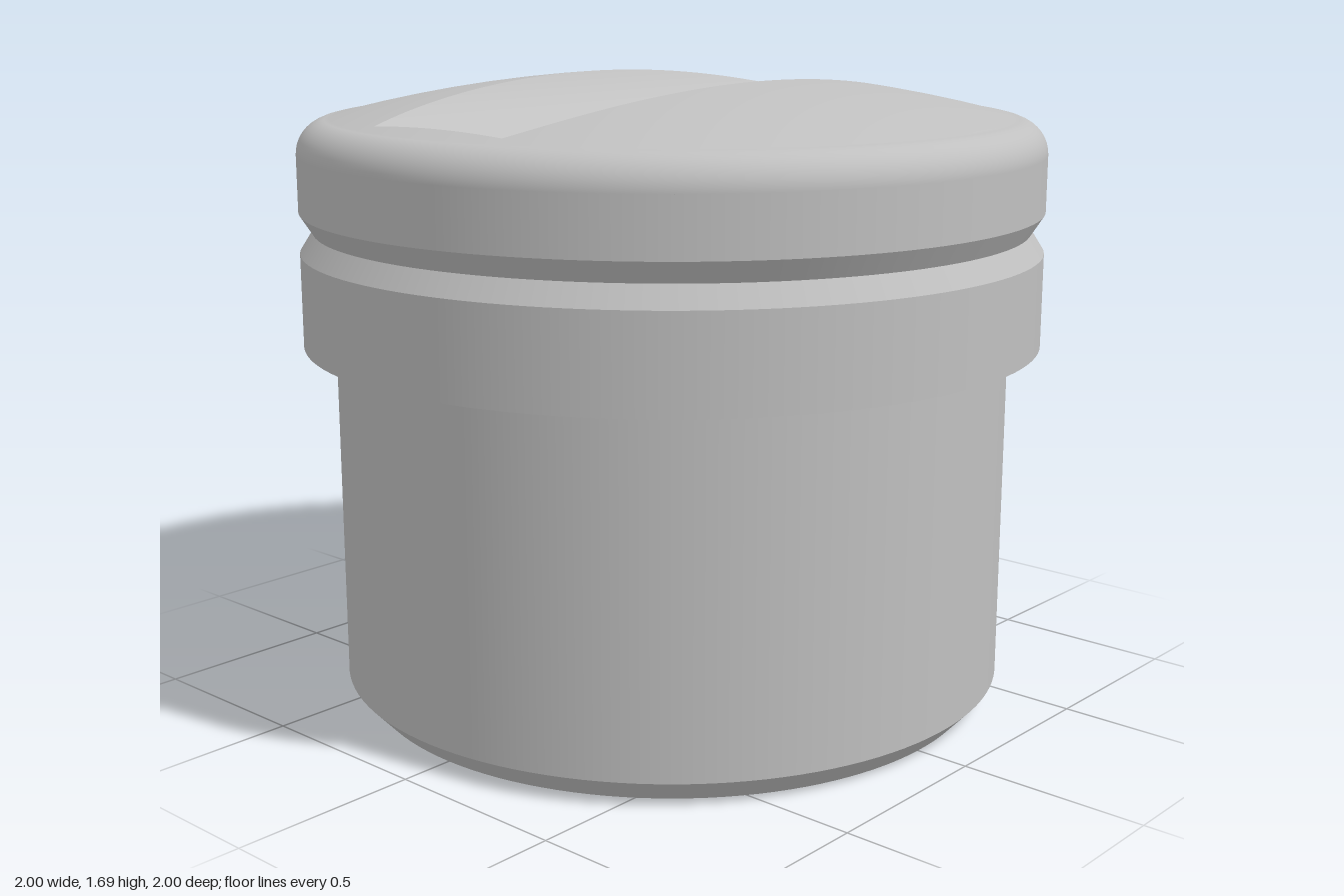
import * as THREE from 'three';
import { mergeGeometries } from 'three/addons/utils/BufferGeometryUtils.js';

const DOME_R = 3.66, DOME_TOP = 1.705;       // shallow spherical top
const RIM = 0.91, FILLET = 0.09, RIM_Y = 1.5; // rounded rim
const SLOT_R = 0.364, SLOT_Y = 1.884, SLOT_END = -0.84; // scooped finger slot
const CEILING = 1.4;

// Height of the top at radius r
const capY = (r) => r <= RIM
  ? DOME_TOP - DOME_R + Math.sqrt(DOME_R ** 2 - r * r)
  : RIM_Y + Math.sqrt(Math.max(0, FILLET ** 2 - (r - RIM) ** 2));

// Height of the slot floor at z
const slotY = (z) => SLOT_Y - Math.sqrt(Math.max(0, SLOT_R ** 2 - z * z));

function capNormal(r, t) {
  const [h, v] = r > RIM + 1e-6
    ? [(r - RIM) / FILLET, (capY(r) - RIM_Y) / FILLET]
    : [r / DOME_R, Math.sqrt(1 - (r / DOME_R) ** 2)];
  return [h * Math.cos(t), v, h * Math.sin(t)];
}

function slotNormal(z) {
  return [0, (SLOT_Y - slotY(z)) / SLOT_R, -z / SLOT_R];
}

// Largest value in [0, hi] for which test holds
function bisect(hi, test) {
  let lo = 0;
  for (let i = 0; i < 50; i++) {
    const m = (lo + hi) / 2;
    if (test(m)) lo = m; else hi = m;
  }
  return lo;
}

// Grid surface from fn(i, j) -> { p, n }
function grid(rows, cols, fn) {
  const pos = [], nor = [], idx = [];
  for (let i = 0; i <= rows; i++) {
    for (let j = 0; j <= cols; j++) {
      const { p, n } = fn(i, j);
      pos.push(...p);
      nor.push(...n);
      if (i < rows && j < cols) {
        const a = i * (cols + 1) + j, c = a + cols + 1;
        idx.push(a, c, a + 1, a + 1, c, c + 1);
      }
    }
  }
  const g = new THREE.BufferGeometry();
  g.setAttribute('position', new THREE.Float32BufferAttribute(pos, 3));
  g.setAttribute('normal', new THREE.Float32BufferAttribute(nor, 3));
  g.setIndex(idx);
  return g;
}

export function createModel() {
  const group = new THREE.Group();
  const grey = new THREE.MeshStandardMaterial({ color: 0xc0c0c0 });
  grey.name = 'light grey';
  const add = (name, geometry) => {
    const mesh = new THREE.Mesh(geometry, grey);
    mesh.name = name;
    group.add(mesh);
    return mesh;
  };

  // Hollow body: ceiling, bore, chamfered foot, collar and V groove
  const profile = [
    [0, CEILING], [0.8, CEILING], [0.8, 0], [0.855, 0], [0.915, 0.065], [0.915, 0.99],
    [1, 0.99], [1, 1.24], [0.965, 1.295], [1, 1.35], [1, RIM_Y],
  ].map(([x, y]) => new THREE.Vector2(x, y));
  const bands = profile.slice(1).map((p, i) => new THREE.LatheGeometry([profile[i], p], 128));
  add('body', mergeGeometries(bands));

  // Directions around the top, including the two corners of the slot's end
  const endHalf = bisect(SLOT_R, (z) => capY(Math.hypot(SLOT_END, z)) > slotY(z));
  const corner = Math.atan2(endHalf, SLOT_END);
  const angles = [corner, 2 * Math.PI - corner];
  for (let i = 0; i <= 288; i++) angles.push((i / 288) * Math.PI * 2);
  angles.sort((a, b) => a - b);

  // Slot outline as a radius for each direction
  const outline = angles.map((t) => bisect(1, (r) => {
    const z = Math.abs(r * Math.sin(t));
    return z < SLOT_R && r * Math.cos(t) > SLOT_END && capY(r) > slotY(z);
  }));
  const at = (r, t, y) => [r * Math.cos(t), y, r * Math.sin(t)];
  const last = angles.length - 1;

  // Domed top with rounded rim, outside the slot
  const radii = [];
  for (let i = 0; i < 10; i++) radii.push((RIM * i) / 10);
  for (let i = 0; i <= 10; i++) radii.push(RIM + FILLET * Math.sin((i / 10) * Math.PI / 2));
  add('domedTop', grid(last, radii.length - 1, (i, j) => {
    const t = angles[i], r = Math.max(outline[i], radii[j]);
    return { p: at(r, t, capY(r)), n: capNormal(r, t) };
  }));

  // Scooped slot floor
  add('slotFloor', grid(last, 14, (i, j) => {
    const t = angles[i], r = (outline[i] * j) / 14, z = r * Math.sin(t);
    return { p: at(r, t, slotY(z)), n: slotNormal(z) };
  }));

  // Flat wall at the closed end of the slot
  const first = angles.indexOf(corner);
  const count = angles.indexOf(2 * Math.PI - corner) - first;
  add('slotEndWall', grid(count, 1, (i, j) => {
    const t = angles[first + i], r = outline[first + i];
    return { p: at(r, t, j ? capY(r) : slotY(r * Math.sin(t))), n: [1, 0, 0] };
  }));

  // Rectangular socket hanging inside the bore
  const rect = (Type, w, h) => {
    const s = new Type();
    s.moveTo(-w / 2, -h / 2).lineTo(w / 2, -h / 2).lineTo(w / 2, h / 2).lineTo(-w / 2, h / 2).closePath();
    return s;
  };
  const socketShape = rect(THREE.Shape, 0.83, 0.64);
  socketShape.holes.push(rect(THREE.Path, 0.62, 0.4));
  const socket = add('socket', new THREE.ExtrudeGeometry(socketShape, { depth: CEILING, bevelEnabled: false })
    .rotateX(-Math.PI / 2));
  socket.position.x = -0.3;

  // Small wedge catch on the back of the socket
  const wedge = new THREE.Shape();
  wedge.moveTo(0, 0).lineTo(0.05, 0).lineTo(0, 0.08).closePath();
  const clip = add('catch', new THREE.ExtrudeGeometry(wedge, { depth: 0.1, bevelEnabled: false })
    .rotateY(Math.PI / 2));
  clip.position.set(-0.19, 0.01, -0.32);

  return group;
}
